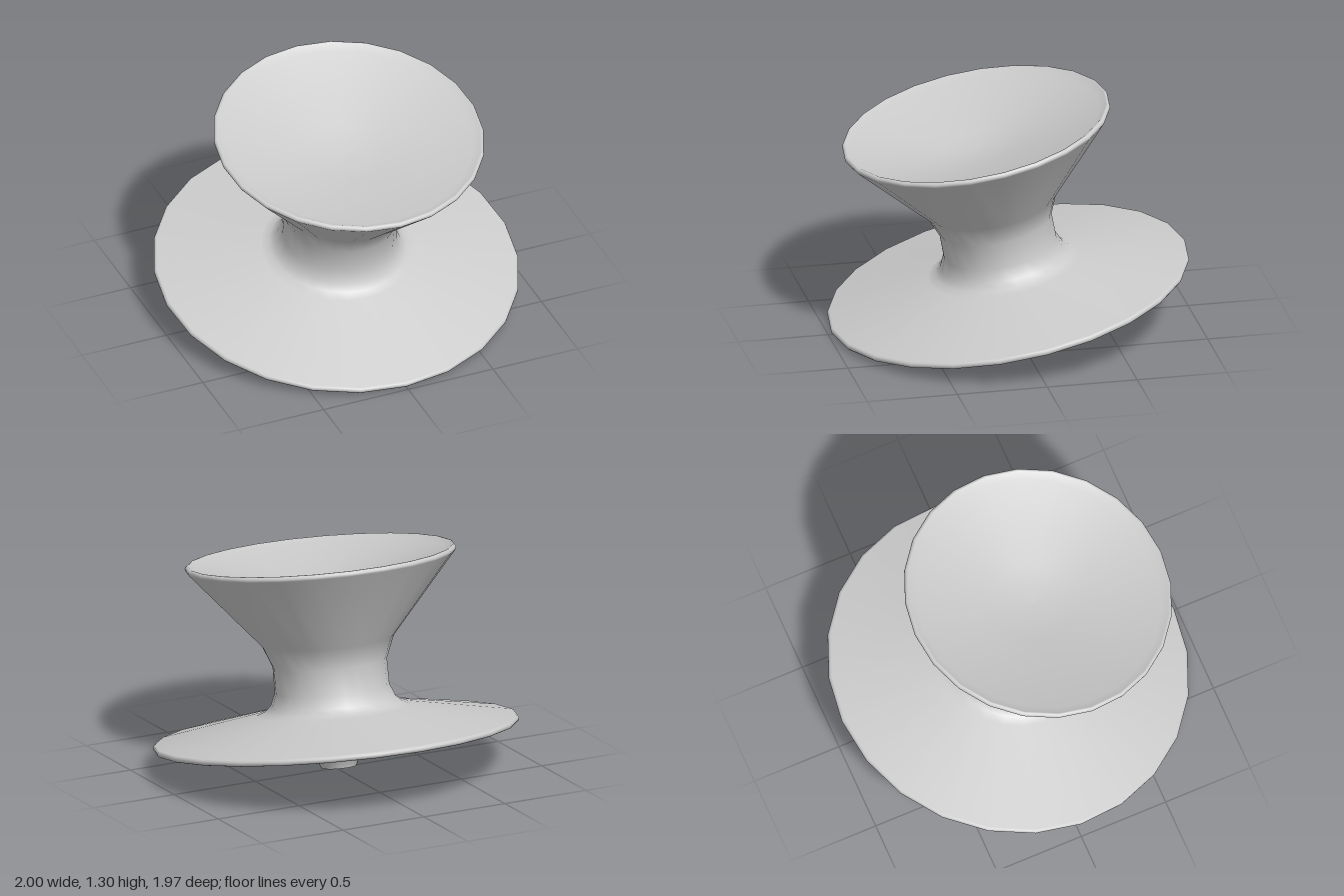
import * as THREE from 'three';

const SIDES = 24;

// Points around a rounded rim, from its underside to its top
function rim(radius, height, r, from, to, steps) {
  return Array.from({ length: steps + 1 }, (_, i) => {
    const a = from + (to - from) * i / steps;
    return [radius - r + r * Math.cos(a), height + r * Math.sin(a)];
  });
}

export function createModel() {
  const material = new THREE.MeshStandardMaterial({ color: 0xcccccc });
  const model = new THREE.Group();
  model.name = 'spinningChair';

  // The chair rests on the edge of its disc, so its axis leans forward
  const chair = new THREE.Group();
  chair.name = 'tiltedChair';
  chair.position.y = 0.2;
  chair.rotation.x = 0.185;
  model.add(chair);

  const profile = [
    // pivot and underside of the disc
    [0.097, -0.181], [0.113, -0.145], [0.138, -0.117], [0.17, -0.095], [0.21, -0.079],
    // disc rim
    ...rim(1, 0.002, 0.018, -1.5, 1.4, 5),
    // top of the disc, sweeping into the neck
    [0.42, 0.132], [0.375, 0.15], [0.342, 0.181], [0.313, 0.25],
    // neck and flared seat wall
    [0.312, 0.392], [0.361, 0.514],
    // seat rim
    ...rim(0.741, 0.966, 0.017, -0.75, 1.7, 5),
    // dished seat
    [0.68, 0.959], [0.45, 0.9], [0.22, 0.848], [0.1, 0.832], [0, 0.828],
  ].map(([x, y]) => new THREE.Vector2(x, y));

  const body = new THREE.Mesh(new THREE.LatheGeometry(profile, SIDES), material);
  body.name = 'seatNeckAndDisc';
  chair.add(body);

  // Flat end of the pivot
  const cap = new THREE.Mesh(new THREE.CircleGeometry(0.097, SIDES), material);
  cap.name = 'pivotCap';
  cap.rotation.x = Math.PI / 2;
  cap.position.y = -0.181;
  chair.add(cap);

  return model;
}
